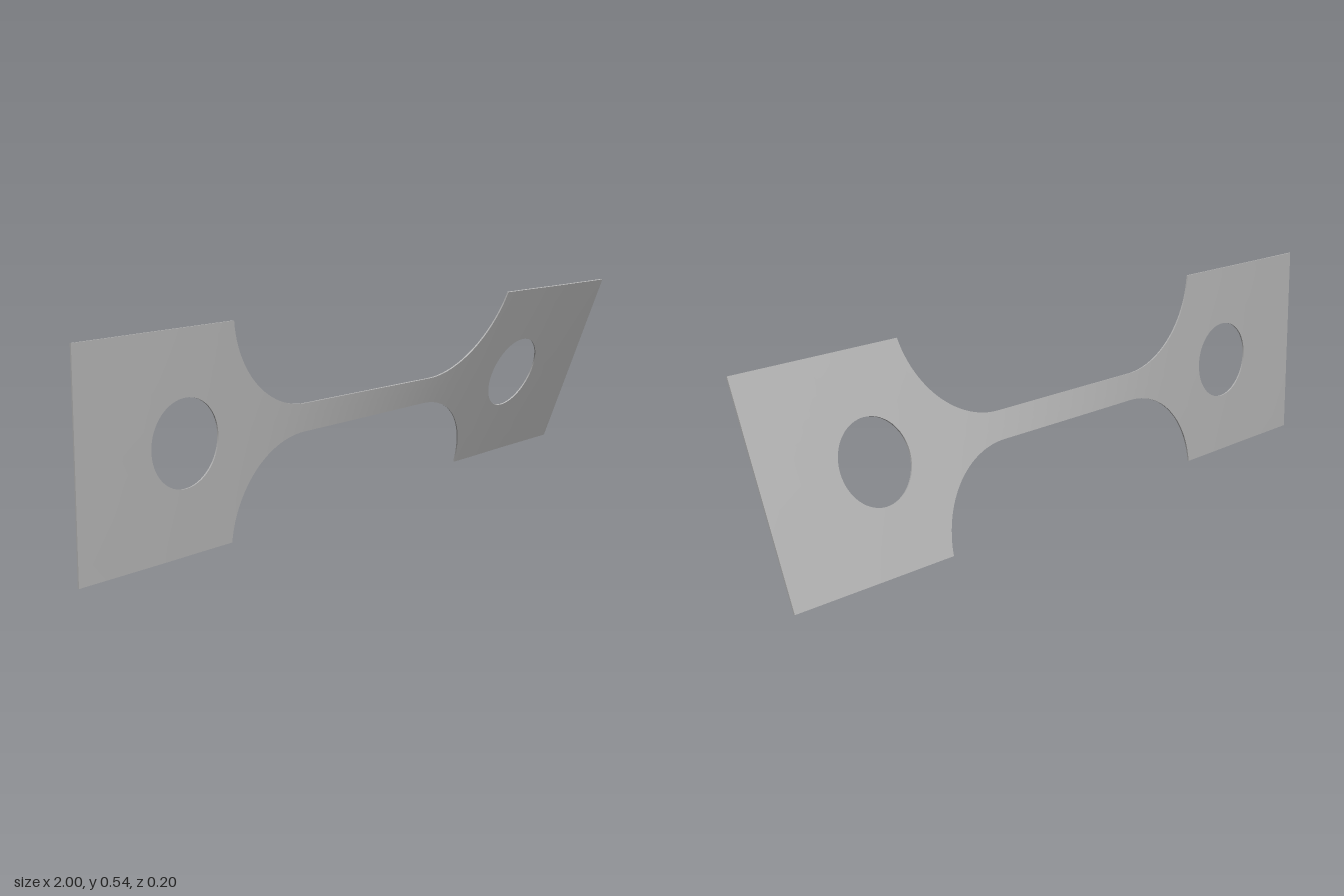
import * as THREE from 'three';
import { toCreasedNormals } from 'three/addons/utils/BufferGeometryUtils.js';

const HALF = 0.271, WAIST = 0.037, THICK = 0.004;      // half heights, plate thickness
const WAIST_X = 0.25, FILLET_R = 0.2615, GRIP_X = 0.51; // waist end, fillet radius, grip edge
const HOLE_X = 0.668, HOLE_R = 0.108;
const TWIST = THREE.MathUtils.degToRad(21.5);

// Half height of the outline at x
function outer(x) {
  const a = Math.abs(x);
  if (a <= WAIST_X) return WAIST;
  if (a >= GRIP_X - 1e-6) return HALF;
  return WAIST + FILLET_R - Math.sqrt(FILLET_R ** 2 - (a - WAIST_X) ** 2);
}

// Half height of the round hole at x
function inner(x) {
  const d = HOLE_R ** 2 - (Math.abs(x) - HOLE_X) ** 2;
  return d > 1e-7 ? Math.sqrt(d) : 0;
}

// Stations along the length, denser on the curves
function makeStations() {
  const xs = [-1, -0.89];
  for (let i = 0; i <= 32; i++) xs.push(-HOLE_X - HOLE_R * Math.cos(Math.PI * i / 32));
  const start = Math.asin((GRIP_X - WAIST_X) / FILLET_R);
  for (let i = 0; i <= 24; i++) xs.push(-WAIST_X - FILLET_R * Math.sin(start * (1 - i / 24)));
  for (let i = 1; i < 12; i++) xs.push(-WAIST_X + WAIST_X * i / 12);
  return [...xs, 0, ...xs.map(x => -x).reverse()];
}

function twistedPlate() {
  const xs = makeStations(), rows = 6, pos = [];

  // Narrow sections twist more than wide ones
  const angles = [0];
  for (let i = 1; i < xs.length; i++) {
    const m = (xs[i] + xs[i - 1]) / 2;
    angles.push(angles[i - 1] + (xs[i] - xs[i - 1]) / (outer(m) - inner(m)));
  }
  const scale = TWIST / angles[angles.length - 1];

  const point = (i, j, side, s) => {
    const x = xs[i], t = angles[i] * scale;
    const y = s * THREE.MathUtils.lerp(inner(x), outer(x), j / rows);
    const z = side * THICK / 2;
    return [x, y * Math.cos(t) - z * Math.sin(t), y * Math.sin(t) + z * Math.cos(t)];
  };
  const quad = (flip, a, b, c, d) => {
    if (flip) [b, d] = [d, b];
    pos.push(...a, ...b, ...c, ...a, ...c, ...d);
  };

  for (const s of [1, -1]) {                 // upper and lower halves
    const p = (i, j, side) => point(i, j, side, s);
    const mirrored = s < 0, last = xs.length - 1;
    for (let i = 0; i < last; i++) {
      // front and back faces
      for (let j = 0; j < rows; j++)
        for (const f of [1, -1])
          quad(mirrored !== (f < 0), p(i, j, f), p(i + 1, j, f), p(i + 1, j + 1, f), p(i, j + 1, f));
      // outer rim
      quad(mirrored, p(i, rows, 1), p(i + 1, rows, 1), p(i + 1, rows, -1), p(i, rows, -1));
      // hole wall
      if (inner(xs[i]) + inner(xs[i + 1]) > 0)
        quad(!mirrored, p(i, 0, 1), p(i + 1, 0, 1), p(i + 1, 0, -1), p(i, 0, -1));
    }
    // end caps
    for (const i of [0, last])
      quad(mirrored !== (i > 0), p(i, 0, -1), p(i, 0, 1), p(i, rows, 1), p(i, rows, -1));
  }

  const geometry = new THREE.BufferGeometry();
  geometry.setAttribute('position', new THREE.Float32BufferAttribute(pos, 3));
  return toCreasedNormals(geometry, Math.PI / 6);
}

export function createModel() {
  const group = new THREE.Group();
  group.name = 'twistedTestStrip';
  const steel = new THREE.MeshStandardMaterial({ color: 0xb4b4b4 });
  steel.name = 'steel grey';
  const plate = new THREE.Mesh(twistedPlate(), steel);
  plate.name = 'twistedPlate';
  plate.position.y = HALF;
  group.add(plate);
  return group;
}
